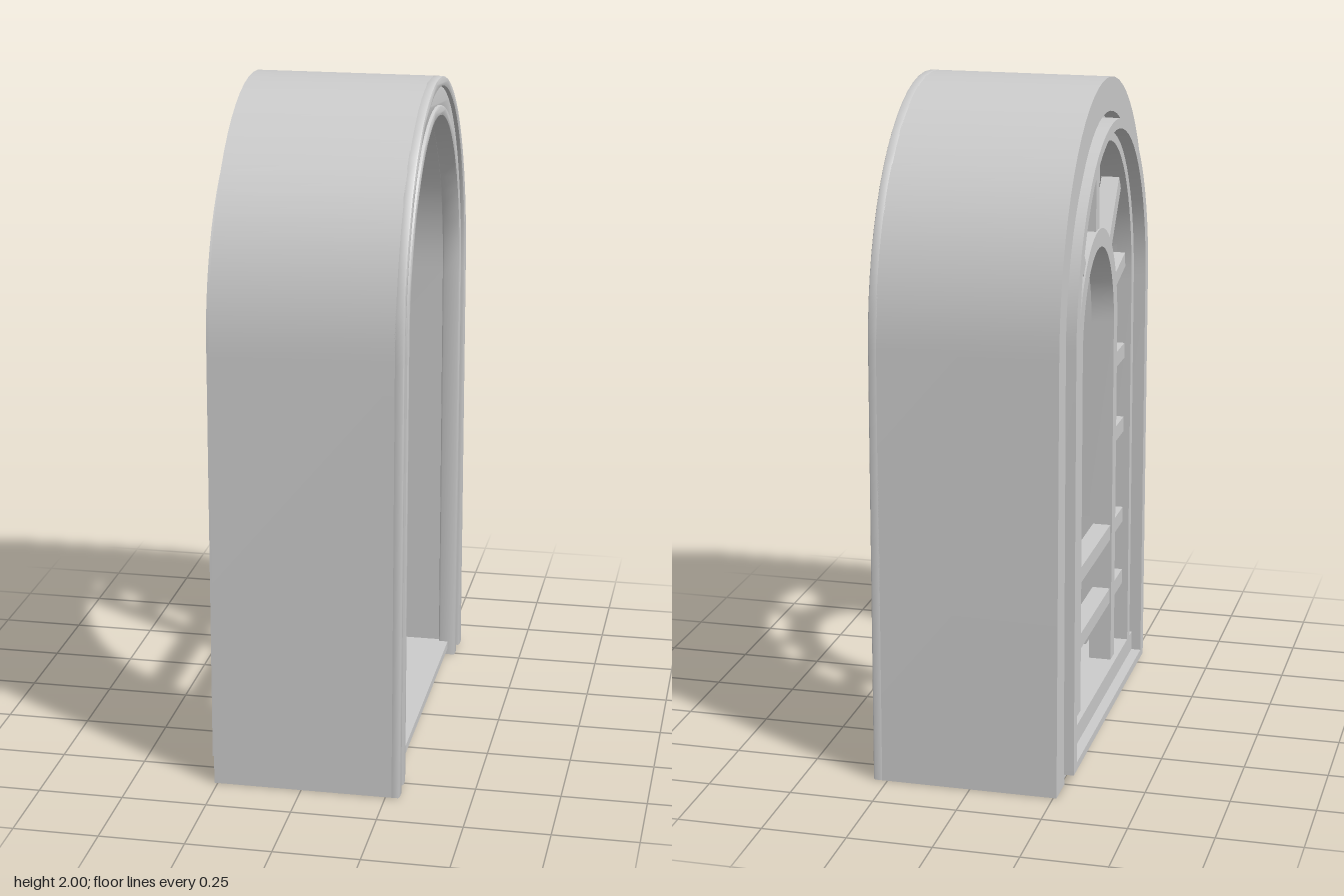
import * as THREE from 'three';
import { toCreasedNormals } from 'three/addons/utils/BufferGeometryUtils.js';

const material = new THREE.MeshStandardMaterial({ color: 0xcccccc });

function add(parent, name, geometry) {
  const mesh = new THREE.Mesh(geometry, material);
  mesh.name = name;
  parent.add(mesh);
  return mesh;
}

// Outline of an arch, from its right foot over the top to its left foot
function archPoints({ foot, w, spring, top, base }) {
  const pts = [new THREE.Vector2(foot ?? w, base)];
  const n = 32;
  for (let i = 0; i <= n; i++) {
    const a = (Math.PI * i) / n;
    pts.push(new THREE.Vector2(w * Math.cos(a), spring + (top - spring) * Math.sin(a)));
  }
  pts.push(new THREE.Vector2(-(foot ?? w), base));
  return pts;
}

// Arched band, open at its foot, running along x from x0 to x1
function archBand(outer, inner, x0, x1, bevel = 0) {
  const shape = new THREE.Shape([...archPoints(outer), ...archPoints(inner).reverse()]);
  const geometry = new THREE.ExtrudeGeometry(shape, {
    depth: x1 - x0 - 2 * bevel,
    bevelEnabled: bevel > 0, bevelSize: bevel, bevelThickness: bevel,
    bevelOffset: -bevel, bevelSegments: 2,
  });
  geometry.translate(0, 0, x0 + bevel).rotateY(Math.PI / 2);
  return toCreasedNormals(geometry, 0.6);
}

// Box given by its limits
function block(x0, x1, y0, y1, z0, z1) {
  return new THREE.BoxGeometry(x1 - x0, y1 - y0, z1 - z0)
    .translate((x0 + x1) / 2, (y0 + y1) / 2, (z0 + z1) / 2);
}

export function createModel() {
  const model = new THREE.Group();
  model.name = 'archedWindowRecess';

  // Line of the deep surround, set in by t from the outside
  const line = (t) => ({ foot: 0.603 - t, w: 0.592 - t, spring: 1.3, top: 2 - t, base: 0 });

  // Surround and the mouldings round its open mouth
  const surround = new THREE.Group();
  surround.name = 'surround';
  model.add(surround);
  add(surround, 'tunnelWall', archBand(line(0), line(0.1), -0.26, 0.268));
  add(surround, 'outerMoulding', archBand(line(0), line(0.03), 0.26, 0.293, 0.006));
  add(surround, 'middleMoulding', archBand(line(0.026), line(0.09), 0.26, 0.28, 0.004));
  add(surround, 'innerMoulding', archBand(line(0.085), line(0.115), 0.235, 0.29, 0.006));
  add(surround, 'floor', block(-0.26, 0.265, 0.02, 0.045, -0.51, 0.51));

  // Window frame: recessed core with a raised rim on each edge
  const frame = new THREE.Group();
  frame.name = 'windowFrame';
  frame.position.z = -0.006;
  model.add(frame);
  const edge = (w, top) => ({ w, spring: 1.31, top, base: 0.035 });
  add(frame, 'frameCore', archBand(edge(0.505, 1.9), edge(0.395, 1.815), -0.215, -0.14));
  add(frame, 'outerRim', archBand(edge(0.505, 1.88), edge(0.465, 1.85), -0.29, -0.2));
  add(frame, 'innerRim', archBand(edge(0.43, 1.84), edge(0.395, 1.815), -0.26, -0.2));
  add(frame, 'sill', block(-0.26, -0.14, 0.03, 0.12, -0.5, 0.5));
  add(frame, 'sillLip', block(-0.29, -0.13, 0.035, 0.06, -0.5, 0.5));

  // Inner arch
  const tracery = new THREE.Group();
  tracery.name = 'tracery';
  tracery.position.z = -0.013;
  model.add(tracery);
  add(tracery, 'innerArch', archBand(
    { w: 0.265, spring: 1.22, top: 1.555, base: 0.1 },
    { w: 0.215, spring: 1.22, top: 1.5, base: 0.1 }, -0.245, -0.175));

  // Cross bars: two across the full width, two broken by the inner arch
  for (const y of [0.335, 0.545]) {
    add(tracery, 'crossBar', block(-0.24, -0.185, y - 0.024, y + 0.024, -0.455, 0.465));
  }
  for (const y of [0.845, 1.085]) {
    for (const side of [-1, 1]) {
      const bar = add(tracery, 'sideBar', block(-0.24, -0.185, y - 0.024, y + 0.024, -0.105, 0.105));
      bar.position.z = side * 0.355;
    }
  }

  // Spokes between the inner arch and the frame, as [z, y] from end to end
  function spoke([z0, y0], [z1, y1]) {
    const length = Math.hypot(z1 - z0, y1 - y0);
    const mesh = add(tracery, 'spoke', new THREE.BoxGeometry(0.055, length, 0.045));
    mesh.position.set(-0.2125, (y0 + y1) / 2, (z0 + z1) / 2);
    mesh.rotation.x = Math.atan2(z1 - z0, y1 - y0);
  }
  spoke([-0.005, 1.53], [-0.005, 1.84]);
  for (const side of [-1, 1]) {
    spoke([side * 0.16, 1.455], [side * 0.335, 1.67]);
    spoke([side * 0.225, 1.335], [side * 0.43, 1.385]);
  }
  return model;
}
